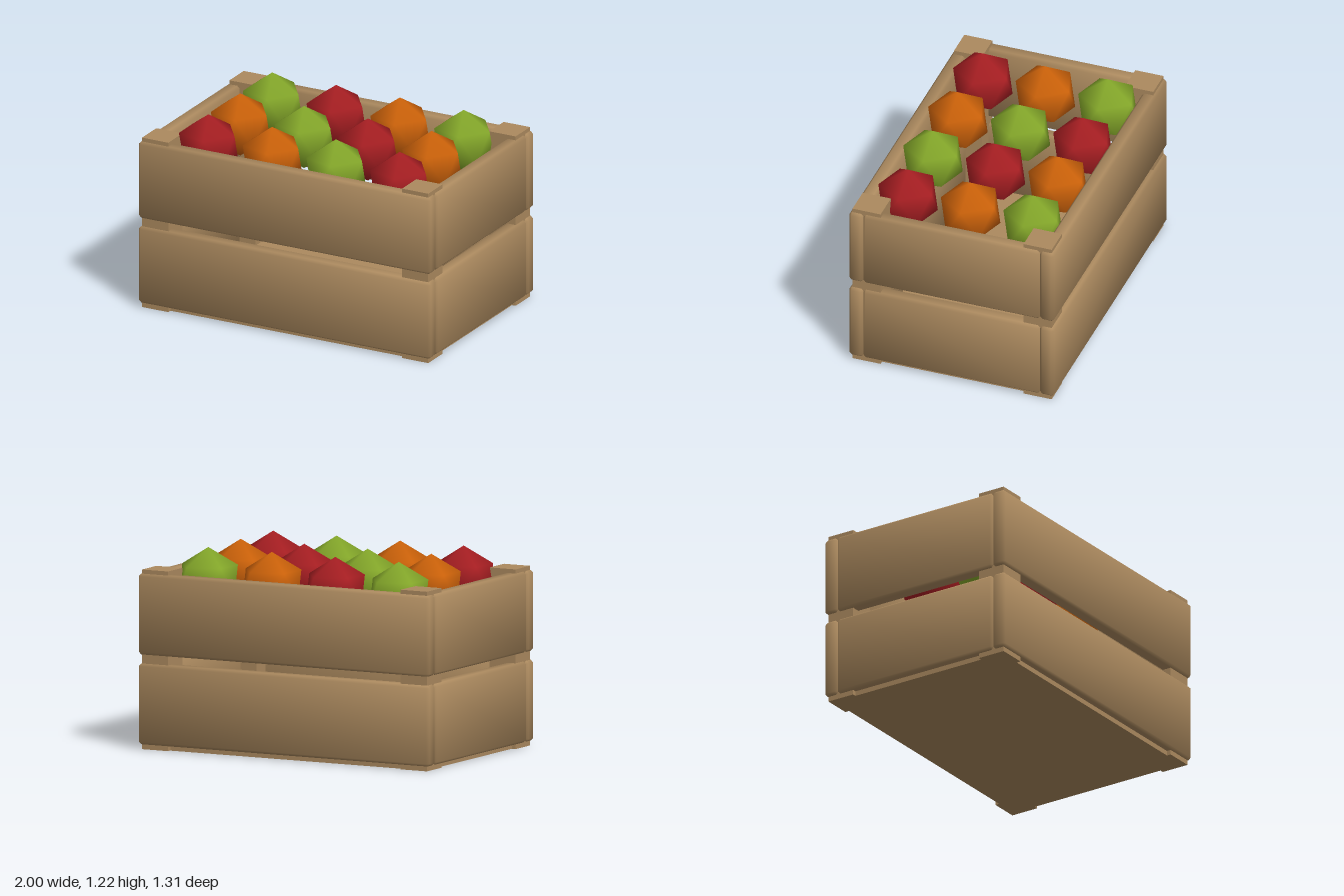
import * as THREE from 'three';
import { mergeVertices } from 'three/addons/utils/BufferGeometryUtils.js';
import { ConvexGeometry } from 'three/addons/geometries/ConvexGeometry.js';

// Box with chamfered edges and softly blended normals
function chamferedBox(w, h, d, bevel) {
  const half = [w / 2, h / 2, d / 2];
  const points = [];
  for (const sx of [-1, 1]) for (const sy of [-1, 1]) for (const sz of [-1, 1]) {
    const sign = [sx, sy, sz];
    for (let axis = 0; axis < 3; axis++) {
      points.push(new THREE.Vector3(...half.map((v, i) => sign[i] * (i === axis ? v : v - bevel))));
    }
  }
  const geometry = new ConvexGeometry(points);
  const pos = geometry.attributes.position;
  const normal = geometry.attributes.normal;
  for (let i = 0; i < pos.count; i++) {
    const p = [pos.getX(i), pos.getY(i), pos.getZ(i)];
    // the coordinate at full extent tells which face the corner belongs to
    const n = p.map((v, k) => Math.sign(v) * (Math.abs(v) > half[k] - bevel / 2 ? 0.876 : 0.34));
    normal.setXYZ(i, ...n);
  }
  return geometry;
}

// Smooth-shaded icosahedron standing on one corner
function fruitGeometry(radius) {
  let geometry = new THREE.IcosahedronGeometry(radius, 0);
  geometry.deleteAttribute('normal');
  geometry.deleteAttribute('uv');
  geometry = mergeVertices(geometry);
  geometry.rotateX(-Math.atan((1 + Math.sqrt(5)) / 2));
  geometry.rotateY(Math.PI / 2);
  geometry.computeVertexNormals();
  return geometry;
}

export function createModel() {
  const model = new THREE.Group();
  model.name = 'fruitCrate';

  const material = (name, color) => {
    const m = new THREE.MeshStandardMaterial({ color });
    m.name = name;
    return m;
  };
  const wood = material('wood', 0xac8a5f);
  const fruitColours = [
    material('red', 0xaa1f23),
    material('orange', 0xd0640a),
    material('green', 0x87ab2b),
  ];

  const add = (name, geometry, mat, x, y, z) => {
    const mesh = new THREE.Mesh(geometry, mat);
    mesh.name = name;
    mesh.position.set(x, y, z);
    model.add(mesh);
  };

  // Two tiers of planks on all four sides
  const longPlank = chamferedBox(2, 0.49, 0.09, 0.016);
  const endPlank = chamferedBox(0.09, 0.49, 1.13, 0.016);
  for (const [tier, y] of [['lower', 0.275], ['upper', 0.82]]) {
    add(tier + 'FrontPlank', longPlank, wood, 0, y, 0.61);
    add(tier + 'BackPlank', longPlank, wood, 0, y, -0.61);
    add(tier + 'LeftPlank', endPlank, wood, 0.955, y, 0);
    add(tier + 'RightPlank', endPlank, wood, -0.955, y, 0);
  }

  // Corner posts
  const post = new THREE.BoxGeometry(0.18, 1.09, 0.18);
  for (const sx of [-1, 1]) for (const sz of [-1, 1]) {
    const name = (sz > 0 ? 'front' : 'back') + (sx > 0 ? 'Left' : 'Right') + 'Post';
    add(name, post, wood, sx * 0.89, 0.545, sz * 0.547);
  }

  // Floor panel, flush with the feet of the posts
  add('floor', new THREE.BoxGeometry(1.91, 0.06, 1.22), wood, 0, 0.03, 0);

  // Three rows of four fruits with cycling colours
  const fruit = fruitGeometry(0.2);
  for (let row = 0; row < 3; row++) for (let col = 0; col < 4; col++) {
    add('fruit', fruit, fruitColours[(row + col) % 3], -0.655 + col * 0.4367, 1.02, 0.4 - row * 0.4);
  }

  return model;
}
